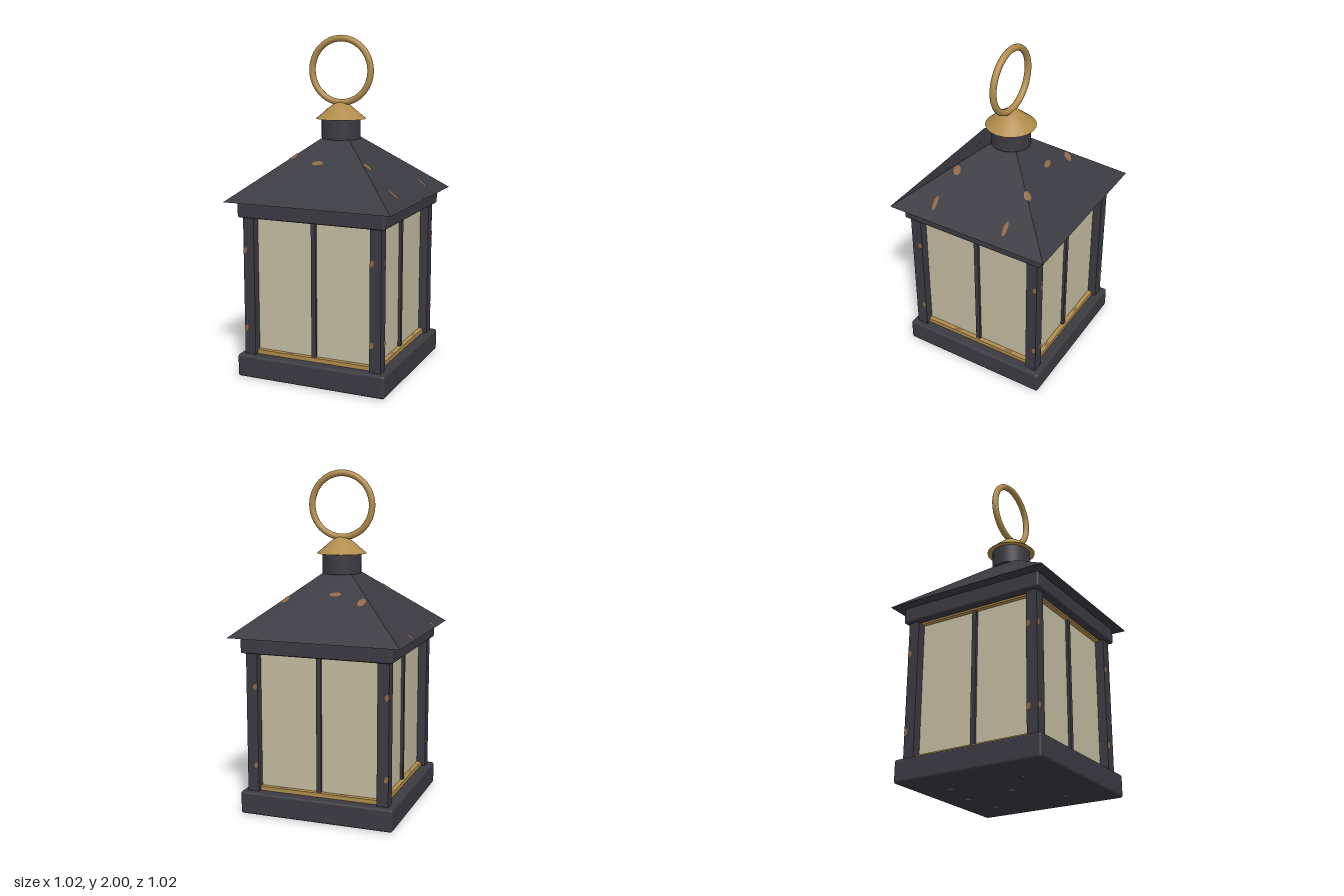
import * as THREE from 'three';
import { RoundedBoxGeometry } from 'three/addons/geometries/RoundedBoxGeometry.js';

const paint = (name, color) => {
  const m = new THREE.MeshStandardMaterial({ color });
  m.name = name;
  return m;
};

export function createModel() {
  const iron = paint('dark iron', 0x3a3a41);
  const brass = paint('brass', 0xb18c4b);
  const glass = paint('frosted glass', 0xc3bca0);
  const rust = paint('rust', 0x8f6744);

  const lantern = new THREE.Group();
  lantern.name = 'lantern';
  const add = (name, geometry, material, x = 0, y = 0, z = 0, parent = lantern) => {
    const mesh = new THREE.Mesh(geometry, material);
    mesh.name = name;
    mesh.position.set(x, y, z);
    parent.add(mesh);
    return mesh;
  };

  // Base and upper frame
  add('base', new RoundedBoxGeometry(0.93, 0.135, 0.93, 3, 0.015), iron, 0, 0.0725, 0);
  add('upperFrame', new RoundedBoxGeometry(0.91, 0.095, 0.91, 3, 0.012), iron, 0, 1.0125, 0);
  add('lowerTrim', new THREE.BoxGeometry(0.81, 0.025, 0.81), brass, 0, 0.152, 0);
  add('upperTrim', new THREE.BoxGeometry(0.81, 0.012, 0.81), brass, 0, 0.961, 0);

  // Corner posts
  for (const x of [-1, 1]) for (const z of [-1, 1]) {
    add('cornerPost', new THREE.BoxGeometry(0.068, 0.83, 0.068), iron, x * 0.396, 0.555, z * 0.396);
  }

  // Irregular flat rust patch lying in the xy plane
  const patch = (w, h) => {
    const g = new THREE.CircleGeometry(1, 10);
    const p = g.attributes.position;
    for (let i = 1; i < p.count; i++) {
      const a = (i - 1) / 10 * Math.PI * 2;
      const k = 1 + 0.14 * Math.sin(2 * a + 0.6);
      p.setXY(i, p.getX(i) * w / 2 * k, p.getY(i) * h / 2 * k);
    }
    return g;
  };

  // Four glazed sides, each with a pane, a centre bar and rusty post spots
  for (let i = 0; i < 4; i++) {
    const side = new THREE.Group();
    side.name = 'glazedSide';
    side.rotation.y = i * Math.PI / 2;
    lantern.add(side);
    add('pane', new THREE.BoxGeometry(0.74, 0.8, 0.012), glass, 0, 0.56, 0.371, side);
    add('centreBar', new THREE.BoxGeometry(0.028, 0.8, 0.03), iron, 0, 0.56, 0.378, side);
    const s = i < 2 ? 1 : -1;
    const flip = i % 2 ? -s : s;
    for (const y of [0.3, 0.77]) for (const x of [-0.418, 0.375]) {
      add('postRust', patch(0.024, 0.04), rust, x * flip, y, 0.4325, side);
    }
    for (const x of [-0.15, 0.22]) {
      const spot = add('trimRust', patch(0.05, 0.02), rust, x * s, 0.1665, 0.392, side);
      spot.rotation.x = -Math.PI / 2;
    }
  }

  // Four-sided roof
  const eave = 0.512, crown = 0.09, eaveY = 1.06, crownY = 1.4;
  const roof = new THREE.CylinderGeometry(crown * Math.SQRT2, eave * Math.SQRT2, crownY - eaveY, 4)
    .rotateY(Math.PI / 4).toNonIndexed();
  roof.computeVertexNormals();
  add('roof', roof, iron, 0, (eaveY + crownY) / 2, 0);

  // Rust patches draped over the roof slopes
  const roofSpots = [
    [-0.212, -0.262, 0.045, 0.05], [-0.04, -0.222, 0.065, 0.028], [0.254, -0.262, 0.045, 0.05],
    [0.428, -0.222, 0.065, 0.028], [-0.49, -0.222, 0.035, 0.028], [-0.212, 0.207, 0.045, 0.05],
    [-0.04, 0.247, 0.065, 0.028], [0.254, 0.207, 0.045, 0.05], [0.428, 0.247, 0.065, 0.028],
    [-0.49, 0.247, 0.035, 0.028],
  ];
  for (const [x, z, w, d] of roofSpots) {
    const g = patch(w, d).rotateX(-Math.PI / 2).translate(x, 0, z);
    const p = g.attributes.position;
    for (let i = 0; i < p.count; i++) {
      const r = Math.max(Math.abs(p.getX(i)), Math.abs(p.getZ(i)));
      p.setY(i, eaveY + (eave - r) / (eave - crown) * (crownY - eaveY) + 0.004);
    }
    g.computeVertexNormals();
    add('roofRust', g, rust);
  }

  // Rust under the base
  for (const [x, z] of [[-0.21, -0.26], [0.25, -0.26], [-0.21, 0.21], [0.25, 0.21], [-0.02, 0.02], [0.02, -0.3]]) {
    add('baseRust', patch(0.035, 0.028), rust, x, 0.003, z).rotation.x = Math.PI / 2;
  }

  // Chimney neck, brass cap and carrying ring
  add('neck', new THREE.CylinderGeometry(0.115, 0.115, 0.125, 32), iron, 0, 1.46, 0);
  const capProfile = [
    [0, 1.515], [0.148, 1.515], [0.148, 1.515], [0.115, 1.542], [0.08, 1.573], [0.05, 1.596], [0.025, 1.608], [0, 1.612],
  ].map(([r, y]) => new THREE.Vector2(r, y));
  add('cap', new THREE.LatheGeometry(capProfile, 20), brass);
  add('ring', new THREE.TorusGeometry(0.186, 0.019, 12, 48), brass, 0, 1.795, 0);

  return lantern;
}
